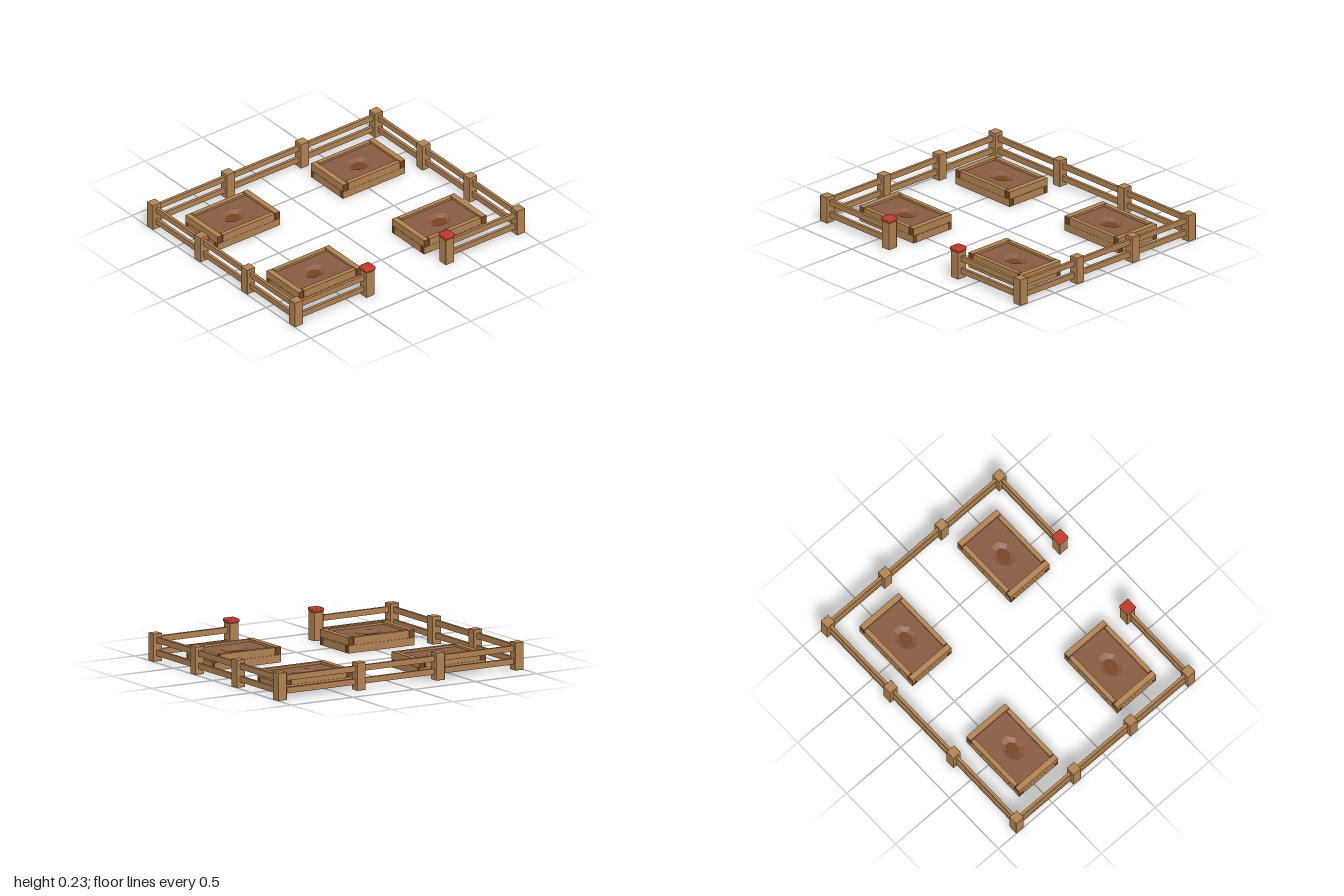
import * as THREE from 'three';
import { RoundedBoxGeometry } from 'three/addons/geometries/RoundedBoxGeometry.js';

function mat(name, color) {
  const m = new THREE.MeshStandardMaterial({ color });
  m.name = name;
  return m;
}

export function createModel() {
  const wood = mat('wood', 0xb58453);
  const endGrain = mat('end grain', 0x7a4520);
  const soil = mat('soil', 0x8a5c42);
  const red = mat('red', 0xc0392b);

  const model = new THREE.Group();
  model.name = 'fencedGarden';

  function add(parent, name, geometry, material, x, y, z) {
    const mesh = new THREE.Mesh(geometry, material);
    mesh.name = name;
    mesh.position.set(x, y, z);
    parent.add(mesh);
    return mesh;
  }

  // Fence posts
  const fence = new THREE.Group();
  fence.name = 'fence';
  model.add(fence);
  const X = 0.965, BACK = -0.8, FRONT = 0.79, GATE = 0.345;
  const postGeo = new RoundedBoxGeometry(0.07, 0.195, 0.07, 1, 0.003);
  const gatePostGeo = new RoundedBoxGeometry(0.074, 0.2, 0.074, 1, 0.003);
  for (const s of [-1, 1]) {
    for (const z of [BACK, -0.27, 0.255, FRONT]) add(fence, 'post', postGeo, wood, s * X, 0.0975, z);
    add(fence, 'backPost', postGeo, wood, s * 0.322, 0.0975, BACK);
    add(fence, 'gatePost', gatePostGeo, wood, s * GATE, 0.1, FRONT);
    // Chamfered cap
    add(fence, 'gateCap', new RoundedBoxGeometry(0.086, 0.03, 0.086, 1, 0.009), red, s * GATE, 0.215, FRONT);
  }

  // Two rails along each side, with an opening at the front
  for (const y of [0.06, 0.15]) {
    add(fence, 'backRail', new THREE.BoxGeometry(2 * X, 0.041, 0.021), wood, 0, y, BACK);
    for (const s of [-1, 1]) {
      add(fence, 'sideRail', new THREE.BoxGeometry(0.021, 0.041, FRONT - BACK), wood, s * X, y, (FRONT + BACK) / 2);
      add(fence, 'frontRail', new THREE.BoxGeometry(X - GATE, 0.041, 0.021), wood, s * (X + GATE) / 2, y, FRONT);
    }
  }

  // Raised beds with boards overlapping in turn at the corners
  const W = 0.54, D = 0.36, SIDE = 0.041, LONG = 0.032, H = 0.054;
  const endsX = [endGrain, endGrain, wood, wood, wood, wood];
  const endsZ = [wood, wood, wood, wood, endGrain, endGrain];
  const innerW = W - 2 * SIDE, innerD = D - 2 * LONG;

  // Soil surface with an eight-sided opening
  const ring = (rx, rz) => Array.from({ length: 8 }, (_, i) => {
    const a = (i + 0.5) * Math.PI / 4;
    return new THREE.Vector2(Math.cos(a) * rx, Math.sin(a) * rz);
  });
  const RX = 0.1, RZ = 0.076, TOP = 0.096, FLOOR = 0.076;
  const shape = new THREE.Shape();
  shape.moveTo(-innerW / 2, -innerD / 2);
  shape.lineTo(innerW / 2, -innerD / 2);
  shape.lineTo(innerW / 2, innerD / 2);
  shape.lineTo(-innerW / 2, innerD / 2);
  shape.closePath();
  shape.holes.push(new THREE.Path(ring(RX, RZ).reverse()));
  const soilTop = new THREE.ShapeGeometry(shape);
  soilTop.rotateX(-Math.PI / 2);

  // Sloping inside of the planting hole
  const outer = ring(RX, RZ), inner = ring(0.056, 0.043);
  const pos = [];
  for (let i = 0; i < 8; i++) {
    const j = (i + 1) % 8;
    const a = [outer[i].x, TOP, -outer[i].y], b = [outer[j].x, TOP, -outer[j].y];
    const c = [inner[j].x, FLOOR, -inner[j].y], d = [inner[i].x, FLOOR, -inner[i].y];
    pos.push(...a, ...b, ...c, ...a, ...c, ...d);
  }
  const slope = new THREE.BufferGeometry();
  slope.setAttribute('position', new THREE.Float32BufferAttribute(pos, 3));
  slope.computeVertexNormals();

  const floor = new THREE.CircleGeometry(1, 16);
  floor.scale(0.057, 0.044, 1);
  floor.rotateX(-Math.PI / 2);

  for (const x of [-0.545, 0.545]) {
    for (const z of [-0.46, 0.448]) {
      const bed = new THREE.Group();
      bed.name = 'raisedBed';
      bed.position.set(x, 0, z);
      model.add(bed);
      for (const s of [-1, 1]) {
        const bz = s * (D - LONG) / 2, bx = s * (W - SIDE) / 2;
        add(bed, 'lowerLongBoard', new THREE.BoxGeometry(W, H, LONG), endsX, 0, 0.029, bz);
        add(bed, 'upperLongBoard', new THREE.BoxGeometry(innerW - 0.012, H, LONG), endsX, 0, 0.084, bz);
        add(bed, 'lowerSideBoard', new THREE.BoxGeometry(SIDE, H, innerD - 0.006), endsZ, bx, 0.029, 0);
        add(bed, 'upperSideBoard', new THREE.BoxGeometry(SIDE, H, D), endsZ, bx, 0.085, 0);
      }
      add(bed, 'soilBase', new THREE.BoxGeometry(innerW, 0.06, innerD), soil, 0, 0.038, 0);
      add(bed, 'soilTop', soilTop, soil, 0, TOP, 0);
      add(bed, 'holeSlope', slope, soil, 0, 0, 0);
      add(bed, 'holeFloor', floor, endGrain, 0, FLOOR + 0.001, 0);
    }
  }
  return model;
}
